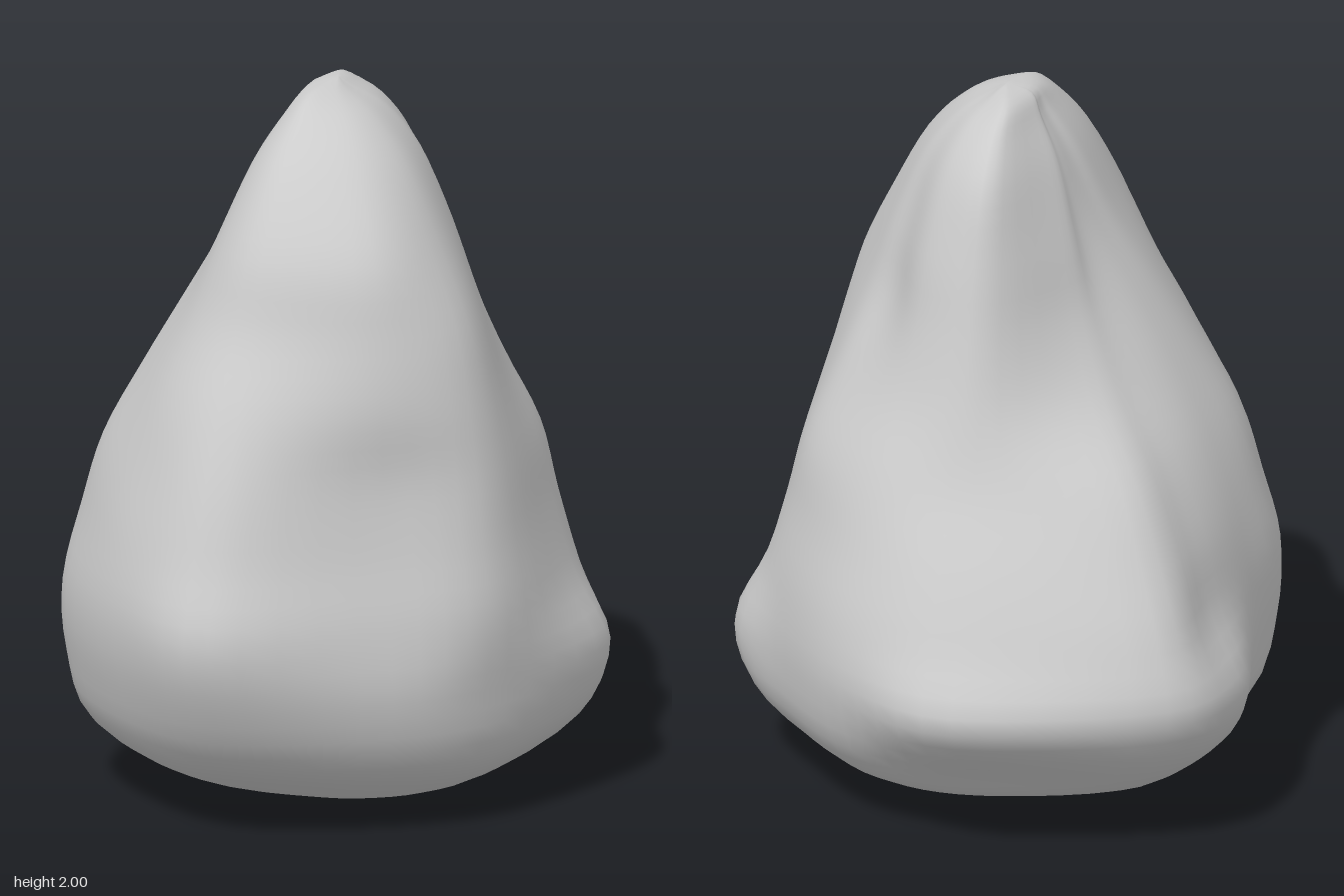
import * as THREE from 'three';
import { mergeVertices } from 'three/addons/utils/BufferGeometryUtils.js';

// Compass directions of the section points, degrees from +z toward +x
const ANGLES = [0, 35, 65, 105, 130, 160, 187, 225, 246, 272, 300, 335];

// Horizontal sections from top to bottom: a height, and a radius per direction
const HEIGHTS = [1.98, 1.92, 1.8, 1.6, 1.4, 1.2, 1, 0.8, 0.6, 0.4, 0.2, 0.07];
const RADII = [
  [.12, .09, .07, .06, .07, .11, .16, .07, .055, .05, .055, .08],
  [.23, .22, .19, .16, .17, .22, .26, .12, .09, .08, .10, .17],
  [.37, .37, .32, .26, .26, .32, .36, .20, .165, .15, .18, .29],
  [.51, .53, .45, .35, .33, .40, .42, .28, .24, .24, .28, .42],
  [.58, .59, .56, .42, .38, .45, .47, .34, .32, .35, .40, .52],
  [.69, .63, .62, .50, .49, .52, .53, .45, .43, .46, .52, .63],
  [.78, .63, .66, .58, .60, .62, .61, .64, .57, .56, .63, .71],
  [.85, .67, .69, .63, .65, .70, .73, .77, .67, .63, .69, .78],
  [.92, .73, .72, .69, .70, .77, .83, .88, .73, .67, .74, .82],
  [.87, .75, .71, .78, .72, .79, .91, .93, .84, .68, .73, .79],
  [.73, .68, .67, .70, .67, .71, .69, .77, .72, .63, .66, .69],
  [.45, .48, .50, .48, .46, .48, .48, .48, .42, .40, .42, .45],
];
const TOP = new THREE.Vector3(0.02, 2, -0.03);
const BOTTOM = new THREE.Vector3(0.12, 0, 0.2);
const ROWS = 52, COLS = 60;

function rockGeometry() {
  // One smooth line per direction, running from the peak to the underside
  const meridians = ANGLES.map((deg, k) => {
    const a = THREE.MathUtils.degToRad(deg);
    const points = RADII.map((r, i) =>
      new THREE.Vector3(Math.sin(a) * r[k], HEIGHTS[i], Math.cos(a) * r[k]));
    return new THREE.CatmullRomCurve3([TOP, ...points, BOTTOM], false, 'catmullrom', 0.5);
  });

  // Closed smooth loops through those lines
  const positions = [], index = [];
  for (let i = 0; i <= ROWS; i++) {
    const loop = new THREE.CatmullRomCurve3(
      meridians.map(m => m.getPoint(i / ROWS)), true, 'catmullrom', 0.5);
    for (let j = 0; j < COLS; j++) {
      const p = loop.getPoint(j / COLS);
      positions.push(p.x, THREE.MathUtils.clamp(p.y, 0, 2), p.z);
    }
  }
  for (let i = 0; i < ROWS; i++) {
    for (let j = 0; j < COLS; j++) {
      const n = (j + 1) % COLS;
      const a = i * COLS + j, b = a + COLS, c = (i + 1) * COLS + n, d = i * COLS + n;
      if (i < ROWS - 1) index.push(a, b, c);
      if (i > 0) index.push(a, c, d);
    }
  }
  let geometry = new THREE.BufferGeometry();
  geometry.setAttribute('position', new THREE.Float32BufferAttribute(positions, 3));
  geometry.setIndex(index);
  geometry = mergeVertices(geometry, 1e-5); // joins the pole points
  geometry.computeVertexNormals();
  return geometry;
}

export function createModel() {
  const group = new THREE.Group();
  group.name = 'boulder';
  const rock = new THREE.Mesh(rockGeometry(), new THREE.MeshStandardMaterial({ color: 0xcccccc }));
  rock.name = 'rock';
  group.add(rock);
  return group;
}
